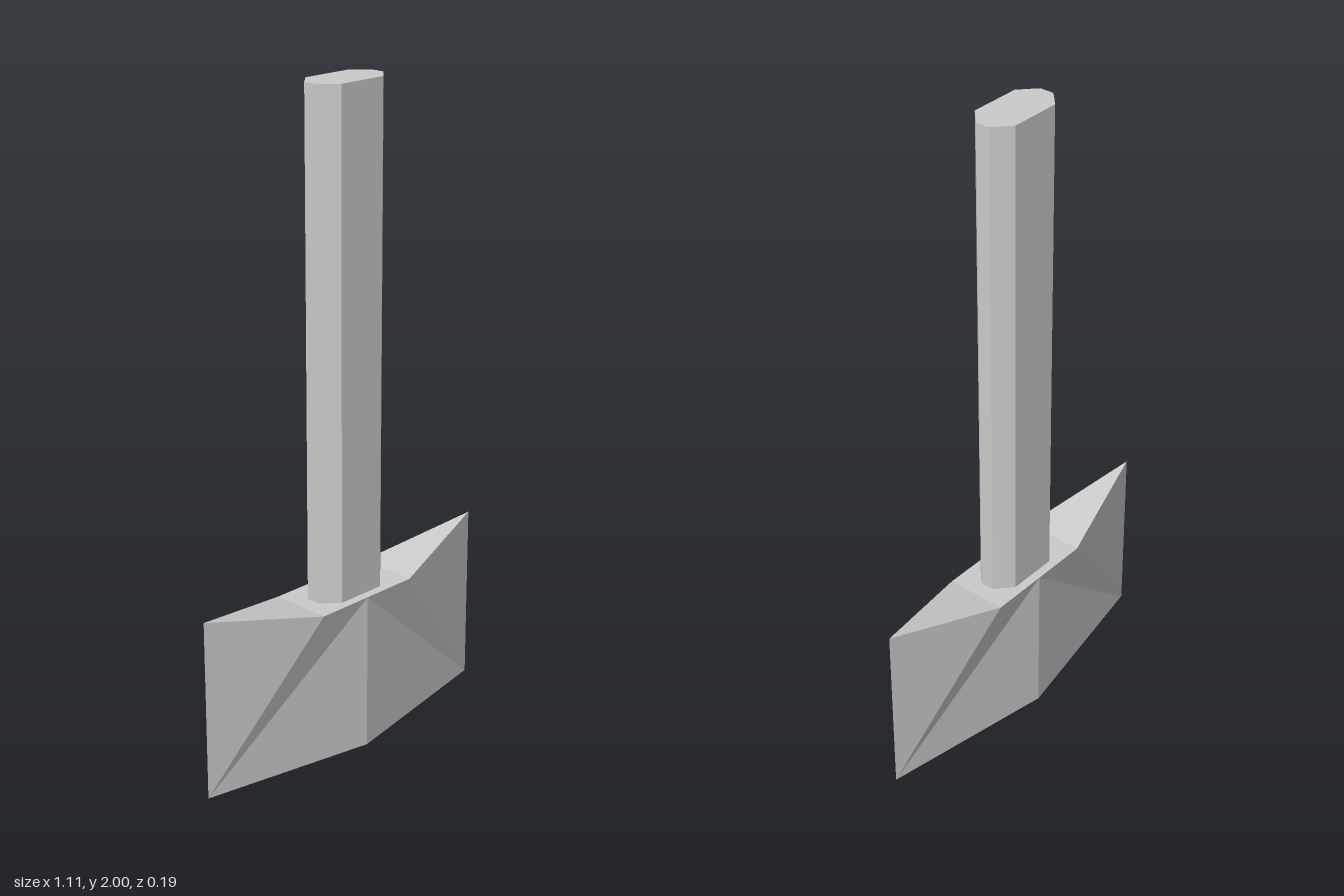
import * as THREE from 'three';

const material = new THREE.MeshStandardMaterial({ color: 0xcccccc, flatShading: true });

// One quarter of the head, mirrored into all four quadrants
function headGeometry() {
  const tipTop = [0.553, 0.565, 0], tipLow = [0.553, 0.01, 0];
  const corner = [0.18, 0.488, 0.095], cornerMid = [0.18, 0.488, 0];
  const sideTop = [0, 0.488, 0.095], sideLow = [0, 0, 0.095];
  const topMid = [0, 0.488, 0], lowMid = [0, 0, 0];
  const triangles = [
    [sideLow, tipLow, sideTop], [tipLow, corner, sideTop], [tipLow, tipTop, corner], // cheek
    [topMid, sideTop, corner], [topMid, corner, cornerMid], [cornerMid, corner, tipTop], // top
    [lowMid, tipLow, sideLow], // underside
  ];
  const positions = [];
  for (const sx of [1, -1]) {
    for (const sz of [1, -1]) {
      for (const [a, b, c] of triangles) {
        const order = sx * sz > 0 ? [a, b, c] : [a, c, b];
        for (const [x, y, z] of order) positions.push(x * sx, y, z * sz);
      }
    }
  }
  const geometry = new THREE.BufferGeometry();
  geometry.setAttribute('position', new THREE.Float32BufferAttribute(positions, 3));
  geometry.computeVertexNormals();
  return geometry;
}

// Flattened octagonal bar
function handleGeometry(bottom, top) {
  const outline = [
    [0.13, -0.022], [0.13, 0.022], [0.08, 0.068], [-0.08, 0.068],
    [-0.13, 0.022], [-0.13, -0.022], [-0.08, -0.068], [0.08, -0.068],
  ].map(([x, y]) => new THREE.Vector2(x, y));
  const geometry = new THREE.ExtrudeGeometry(new THREE.Shape(outline), {
    depth: top - bottom, bevelEnabled: false,
  });
  return geometry.rotateX(-Math.PI / 2).translate(0, bottom, 0);
}

export function createModel() {
  const model = new THREE.Group();
  model.name = 'doubleAxe';

  const head = new THREE.Mesh(headGeometry(), material);
  head.name = 'doubleBladeHead';

  const handle = new THREE.Mesh(handleGeometry(0.48, 2), material);
  handle.name = 'handle';

  model.add(head, handle);
  return model;
}
